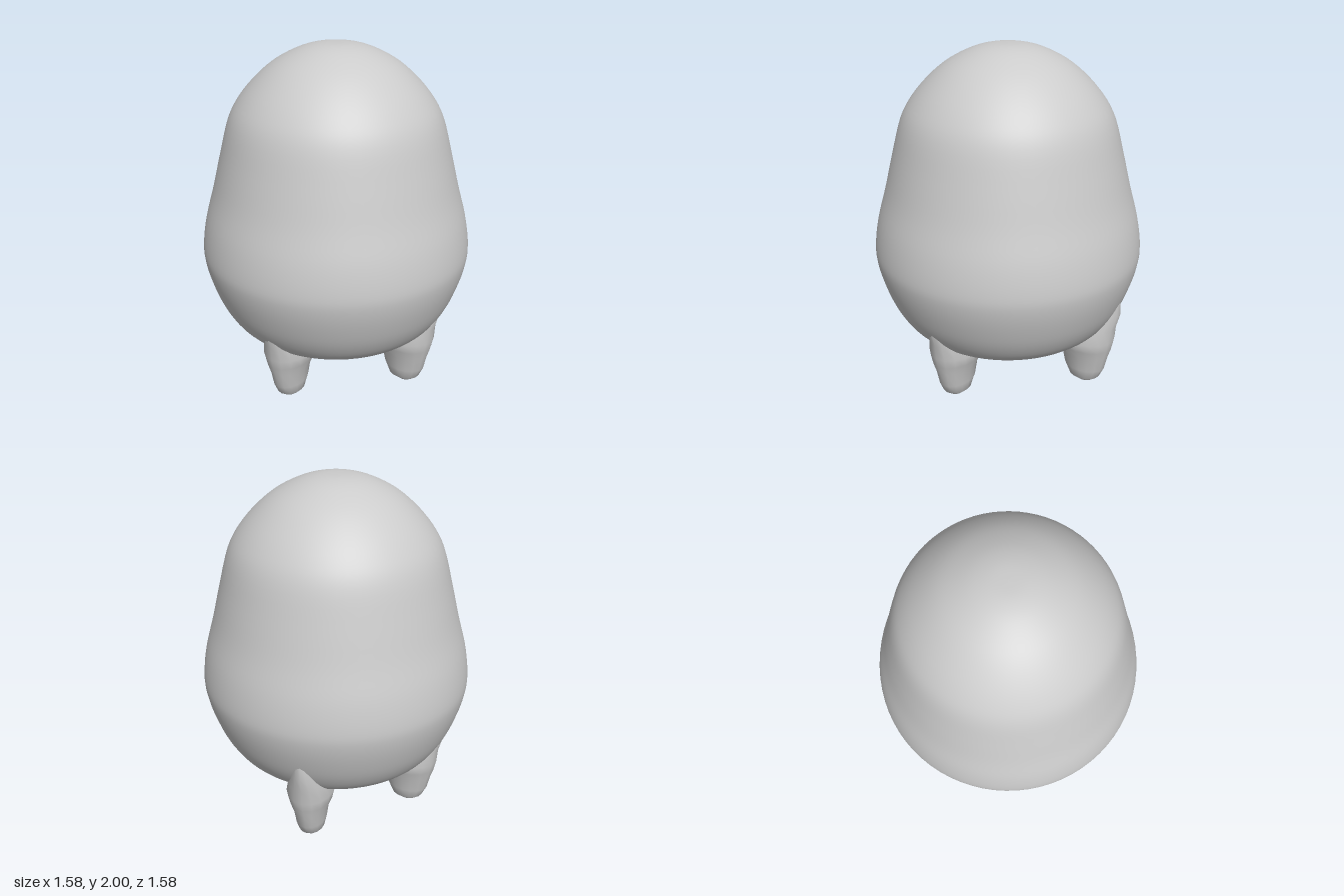
import * as THREE from 'three';
import { mergeVertices } from 'three/addons/utils/BufferGeometryUtils.js';

const material = new THREE.MeshStandardMaterial({ color: 0xcccccc, roughness: 0.8 });

// Smooth surface of revolution through [radius, y] points, from bottom to top
function turned(points, steps, sides) {
  const curve = new THREE.SplineCurve(points.map(([r, y]) => new THREE.Vector2(r, y)));
  const profile = curve.getPoints(steps);
  profile.forEach((p) => { p.x = Math.max(p.x, 0); });
  return new THREE.LatheGeometry(profile, sides);
}

// Leg: a turned shape whose rings are stretched radially and shifted outward
// ring = [y, distance from body axis, radial half-width, sideways half-width]
const legRings = [
  [0.0, 0.495, 0.0, 0.0],
  [0.003, 0.495, 0.05, 0.04],
  [0.035, 0.49, 0.095, 0.075],
  [0.1, 0.49, 0.125, 0.09],
  [0.19, 0.49, 0.145, 0.102],
  [0.25, 0.485, 0.168, 0.125],
  [0.31, 0.49, 0.175, 0.138],
  [0.4, 0.525, 0.147, 0.115],
  [0.5, 0.575, 0.122, 0.08],
  [0.6, 0.61, 0.08, 0.05],
];

function legGeometry() {
  const sides = 16;
  const geometry = new THREE.LatheGeometry(
    legRings.map(([y, , radial]) => new THREE.Vector2(radial, y)), sides);
  const pos = geometry.attributes.position;
  for (let i = 0; i < pos.count; i++) {
    const [, centre, radial, side] = legRings[i % legRings.length];
    pos.setX(i, pos.getX(i) + centre);
    pos.setZ(i, radial > 0 ? pos.getZ(i) * side / radial : 0);
  }
  // Weld the seam so the shading runs smoothly all the way round
  geometry.deleteAttribute('uv');
  geometry.deleteAttribute('normal');
  const welded = mergeVertices(geometry, 1e-4);
  welded.computeVertexNormals();
  return welded;
}

export function createModel() {
  const model = new THREE.Group();
  model.name = 'roundBodiedCreature';

  // Pear-shaped body with a domed head and flattened belly
  const body = new THREE.Mesh(turned([
    [0, 0.21], [0.2, 0.215], [0.36, 0.24], [0.5, 0.29], [0.62, 0.365],
    [0.7, 0.48], [0.755, 0.62], [0.787, 0.75], [0.79, 0.85], [0.765, 1.0],
    [0.715, 1.18], [0.665, 1.38], [0.61, 1.58], [0.545, 1.7], [0.45, 1.81],
    [0.34, 1.9], [0.21, 1.966], [0.1, 1.995], [0, 2.0],
  ], 72, 72), material);
  body.name = 'body';
  model.add(body);

  // Four stubby legs; the back left one stands a little further out
  const geometry = legGeometry();
  const feet = {
    frontLeftLeg: [0.36, 0.35],
    frontRightLeg: [-0.35, 0.35],
    backRightLeg: [-0.35, -0.36],
    backLeftLeg: [0.32, -0.44],
  };
  for (const [name, [x, z]] of Object.entries(feet)) {
    const leg = new THREE.Mesh(geometry, material);
    leg.name = name;
    const angle = Math.atan2(-z, x);
    const shift = Math.hypot(x, z) - 0.495;
    leg.rotation.y = angle;
    leg.position.set(Math.cos(angle) * shift, 0, -Math.sin(angle) * shift);
    model.add(leg);
  }
  return model;
}
